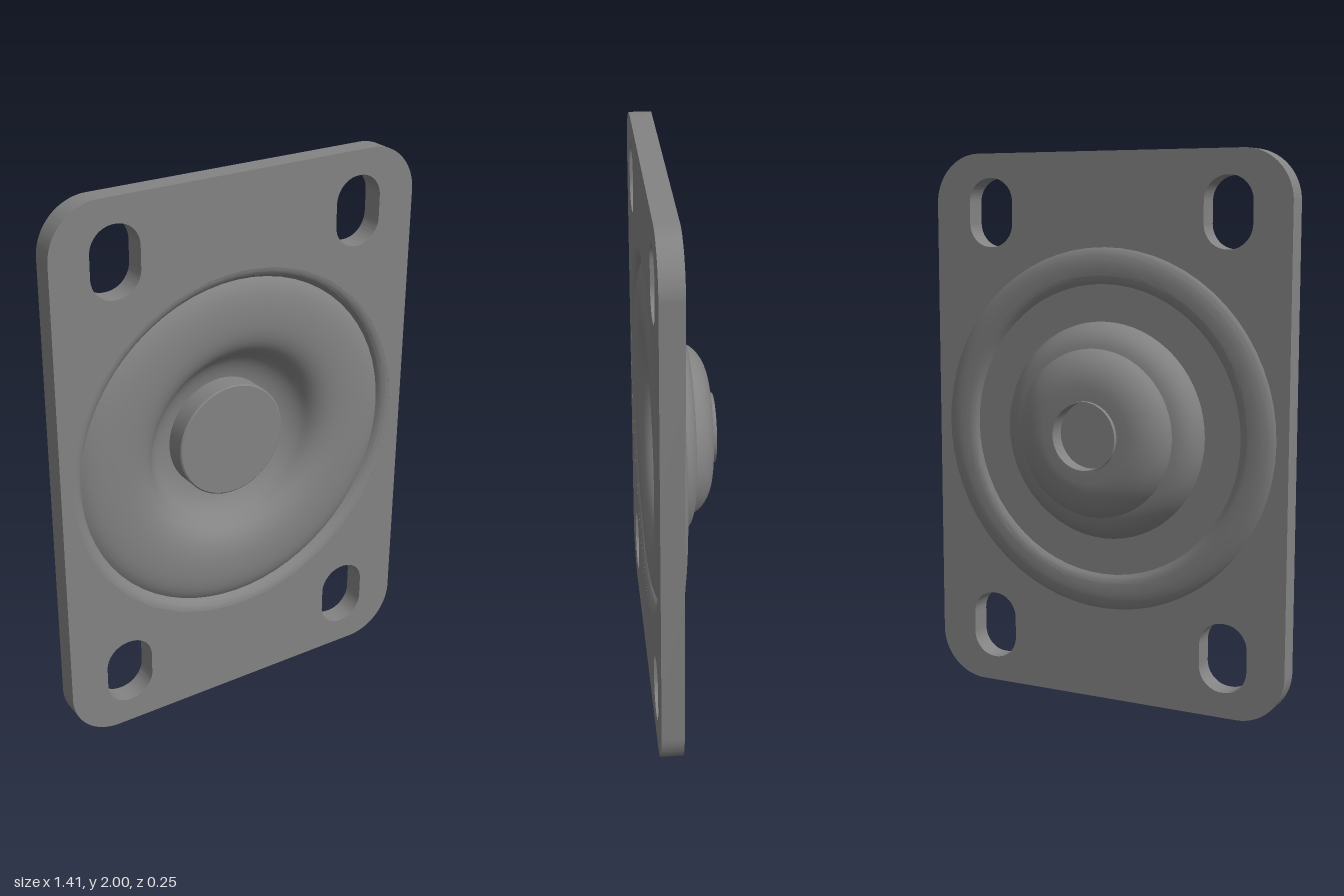
import * as THREE from 'three';
import { toCreasedNormals } from 'three/addons/utils/BufferGeometryUtils.js';

const W = 0.705, R = 0.18, CY = 1.003;
const material = new THREE.MeshStandardMaterial({ color: 0x838383 });

// Rounded rectangle outline, used for the plate and its slots
function roundedRect(path, cx, cy, hw, hh, r) {
  path.absarc(cx + hw - r, cy + hh - r, r, 0, Math.PI / 2);
  path.absarc(cx - hw + r, cy + hh - r, r, Math.PI / 2, Math.PI);
  path.absarc(cx - hw + r, cy - hh + r, r, Math.PI, Math.PI * 1.5);
  path.absarc(cx + hw - r, cy - hh + r, r, Math.PI * 1.5, Math.PI * 2);
  path.closePath();
  return path;
}

// Turned part about the z axis; profile points are (radius, z)
function turned(name, path) {
  const geo = new THREE.LatheGeometry(path.getPoints(8), 64);
  geo.rotateX(Math.PI / 2);
  const mesh = new THREE.Mesh(toCreasedNormals(geo, 0.6), material);
  mesh.name = name;
  mesh.position.y = CY;
  return mesh;
}

export function createModel() {
  const group = new THREE.Group();
  group.name = 'swivelMountingPlate';

  // Flat plate with four slots and a round opening for the pressed centre
  const outline = roundedRect(new THREE.Shape(), 0, 1, W, 1, R);
  for (const x of [-0.472, 0.472])
    for (const y of [0.219, 1.785])
      outline.holes.push(roundedRect(new THREE.Path(), x, y, 0.091, 0.126, 0.088));
  outline.holes.push(new THREE.Path().absarc(0, CY, 0.66, 0, Math.PI * 2));
  const plateGeo = new THREE.ExtrudeGeometry(outline, { depth: 0.08, bevelEnabled: false, curveSegments: 16 });
  plateGeo.translate(0, 0, 0.045);
  const plate = new THREE.Mesh(toCreasedNormals(plateGeo, 0.6), material);
  plate.name = 'plate';
  group.add(plate);

  // Pressed back: rounded ring, flat floor, stepped dome
  const back = new THREE.Path();
  back.moveTo(0.12, -0.108);
  back.lineTo(0.17, -0.108);
  back.bezierCurveTo(0.235, -0.105, 0.285, -0.075, 0.305, -0.035);
  back.bezierCurveTo(0.345, -0.028, 0.375, -0.005, 0.396, 0.042);
  back.lineTo(0.53, 0.042);
  back.quadraticCurveTo(0.545, 0.026, 0.57, 0.025);
  back.lineTo(0.6, 0.025);
  back.quadraticCurveTo(0.645, 0.028, 0.66, 0.045);
  group.add(turned('backDome', back));

  // Pressed front: rounded rim, ball race bulge, central well
  const front = new THREE.Path();
  front.moveTo(0.66, 0.125);
  front.quadraticCurveTo(0.63, 0.122, 0.618, 0.095);
  front.bezierCurveTo(0.59, 0.117, 0.54, 0.125, 0.48, 0.125);
  front.bezierCurveTo(0.41, 0.125, 0.36, 0.11, 0.33, 0.065);
  front.bezierCurveTo(0.31, 0.025, 0.27, -0.005, 0.2, -0.015);
  group.add(turned('frontRace', front));

  // Rivet: broad head in front, short hollow end at the back
  const rivet = new THREE.Path();
  rivet.moveTo(0, -0.065);
  rivet.lineTo(0.12, -0.065);
  rivet.lineTo(0.12, -0.125);
  rivet.lineTo(0.126, -0.125);
  rivet.lineTo(0.126, -0.02);
  rivet.lineTo(0.212, -0.02);
  rivet.lineTo(0.212, 0.062);
  rivet.lineTo(0.207, 0.066);
  rivet.lineTo(0, 0.066);
  group.add(turned('rivet', rivet));

  return group;
}
